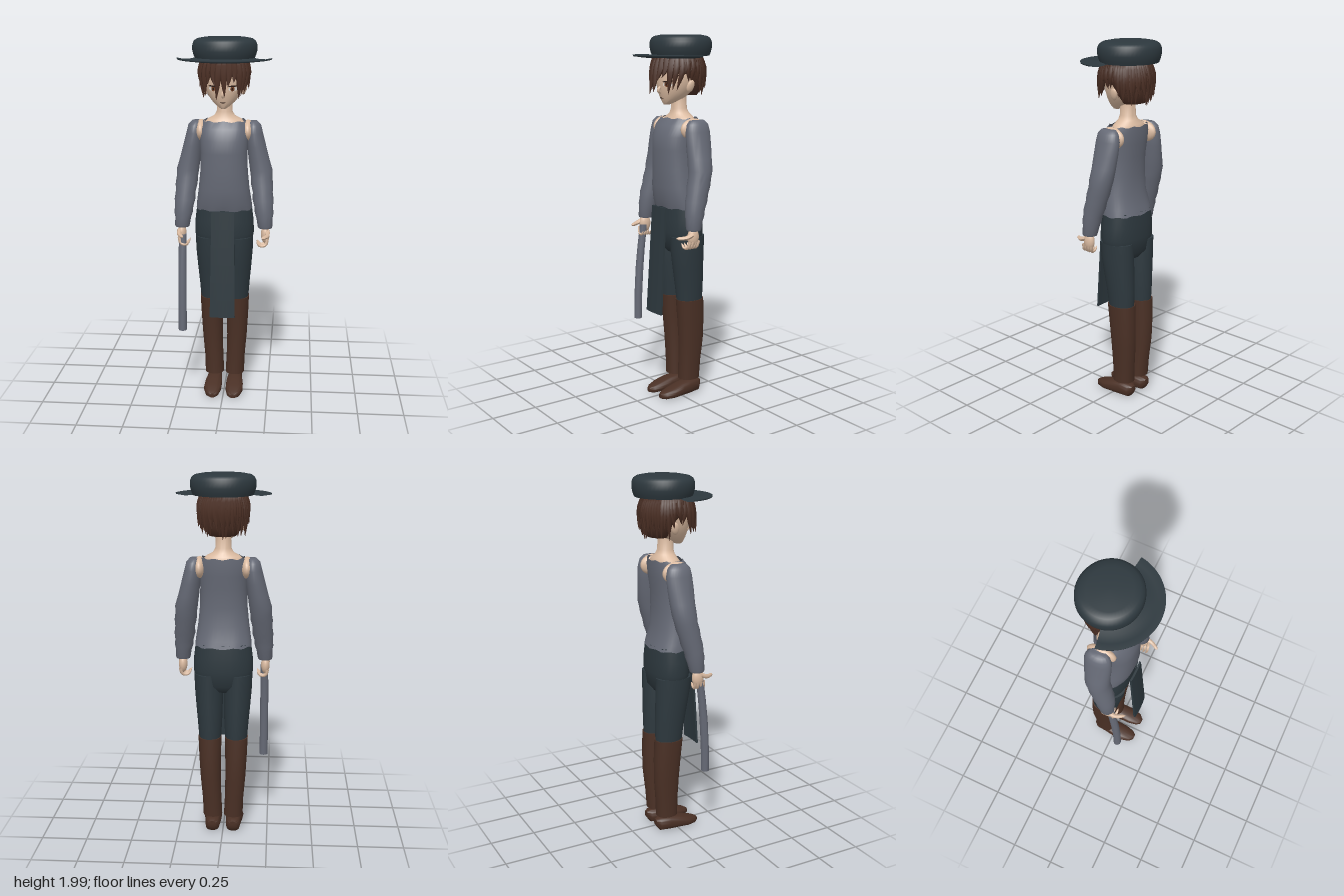
import * as THREE from 'three';
import { toCreasedNormals } from 'three/addons/utils/BufferGeometryUtils.js';

const paint = (hex) => new THREE.MeshStandardMaterial({ color: hex, side: THREE.DoubleSide });

// Stacks elliptical rings [height, centreX, centreZ, radiusX, radiusZ], lowest first.
function loft(rings, { side = 1, cap = true, power = 2, jag = 0, seg = 28 } = {}) {
  const rows = rings.slice();
  if (cap) {
    const shut = ([y, x, z]) => [y, x, z, 0.0002, 0.0002];
    rows.unshift(shut(rings[0]));
    rows.push(shut(rings[rings.length - 1]));
  }
  const pos = [], index = [];
  const bulge = (v) => Math.sign(v) * Math.abs(v) ** (2 / power);
  rows.forEach(([y, cx, cz, rx, rz], i) => {
    const edge = i === 0 || i === rows.length - 1 ? jag : 0;
    for (let j = 0; j < seg; j++) {
      const a = (j / seg) * Math.PI * 2;
      pos.push(cx * side + rx * bulge(Math.cos(a)), y + edge * Math.sin(a * 9), cz + rz * bulge(Math.sin(a)));
      if (i === rows.length - 1) continue;
      const k = (j + 1) % seg, p = i * seg, q = p + seg;
      index.push(p + j, q + j, p + k, p + k, q + j, q + k);
    }
  });
  const geo = new THREE.BufferGeometry();
  geo.setAttribute('position', new THREE.Float32BufferAttribute(pos, 3));
  geo.setIndex(index);
  return toCreasedNormals(geo, 1.0);
}

// Tube along points whose thickness follows taper(t).
function strand(points, width, taper, seg = 7) {
  const curve = new THREE.CatmullRomCurve3(points.map((p) => new THREE.Vector3(...p)));
  const radial = 6, geo = new THREE.TubeGeometry(curve, seg, width, radial);
  const p = geo.attributes.position, v = new THREE.Vector3();
  for (let i = 0; i < p.count; i++) {
    const t = Math.floor(i / (radial + 1)) / seg, c = curve.getPointAt(t);
    v.fromBufferAttribute(p, i).sub(c).multiplyScalar(taper(t)).add(c);
    p.setXYZ(i, v.x, v.y, v.z);
  }
  geo.computeVertexNormals();
  return geo;
}

const HEAD = [
  [1.638, 0, 0.045, 0.014, 0.018], [1.65, 0, 0.032, 0.032, 0.038], [1.67, 0, 0.012, 0.058, 0.064],
  [1.7, 0, -0.008, 0.082, 0.095], [1.74, 0, -0.02, 0.1, 0.112], [1.79, 0, -0.033, 0.11, 0.128],
  [1.84, 0, -0.035, 0.108, 0.128], [1.89, 0, -0.035, 0.09, 0.105],
];
// Front surface of the face at x, y.
function faceZ(x, y) {
  const i = Math.max(0, HEAD.findIndex((r) => r[0] > y) - 1);
  const a = HEAD[i], b = HEAD[i + 1], t = (y - a[0]) / (b[0] - a[0]);
  const mix = (k) => a[k] + (b[k] - a[k]) * t;
  return mix(2) + mix(4) * Math.sqrt(Math.max(0, 1 - (x / mix(3)) ** 2));
}
function facePatch(cx, cy, w, h, lift) {
  const geo = new THREE.CircleGeometry(1, 18), p = geo.attributes.position;
  for (let i = 0; i < p.count; i++) {
    const x = cx + p.getX(i) * w, y = cy + p.getY(i) * h;
    p.setXYZ(i, x, y, faceZ(x, y) + lift);
  }
  geo.computeVertexNormals();
  return geo;
}

export function createModel() {
  const model = new THREE.Group();
  const slate = paint(0x2d383e), grey = paint(0x666a76), skin = paint(0xdcbca2);
  const brown = paint(0x4a3025), hairBrown = paint(0x4b2f24), white = paint(0xe8e2da);
  const iris = paint(0x7a4528), lash = paint(0x2a1a15);
  slate.name = 'slate'; grey.name = 'grey cloth'; skin.name = 'skin'; brown.name = 'brown leather';
  hairBrown.name = 'hair brown'; white.name = 'eye white'; iris.name = 'iris brown'; lash.name = 'dark lash';
  const add = (name, geo, mat) => {
    const mesh = new THREE.Mesh(geo, mat);
    mesh.name = name;
    model.add(mesh);
    return mesh;
  };
  let seed = 11;
  const rand = () => (seed = (seed * 16807) % 2147483647) / 2147483647 - 0.5;

  // Hat: rounded crown and a brim around the front half only
  add('hatCrown', loft([
    [1.892, 0, -0.045, 0.158, 0.15], [1.91, 0, -0.045, 0.165, 0.157], [1.935, 0, -0.045, 0.172, 0.162],
    [1.965, 0, -0.045, 0.171, 0.161], [1.983, 0, -0.045, 0.163, 0.154], [1.994, 0, -0.045, 0.147, 0.138],
    [2.0, 0, -0.045, 0.115, 0.108],
  ], { seg: 48 }), slate);
  const brimProfile = [[0.14, 1.9], [0.18, 1.892], [0.22, 1.89], [0.255, 1.897], [0.253, 1.889],
    [0.2, 1.882], [0.14, 1.89], [0.14, 1.9]].map(([r, y]) => new THREE.Vector2(r, y));
  const brim = add('hatBrim', new THREE.LatheGeometry(brimProfile, 40, -1.41, 2.82), slate);
  brim.position.z = -0.045;

  // Head and face
  add('head', loft(HEAD), skin);
  add('nose', strand([[0, 1.735, 0.088], [0, 1.712, 0.1], [0, 1.698, 0.085]], 0.009,
    (t) => 0.35 + 0.65 * Math.sin(t * Math.PI)), skin);
  add('mouth', facePatch(0, 1.672, 0.016, 0.002, 0.004), lash);
  for (const s of [1, -1]) {
    add('eyeWhite', facePatch(s * 0.052, 1.745, 0.022, 0.013, 0.004), white);
    add('iris', facePatch(s * 0.05, 1.745, 0.011, 0.013, 0.0055), iris);
    add('pupil', facePatch(s * 0.05, 1.745, 0.004, 0.007, 0.007), lash);
    add('upperLash', facePatch(s * 0.053, 1.759, 0.024, 0.004, 0.006), lash);
    const ear = add('ear', new THREE.SphereGeometry(1, 14, 10), skin);
    ear.scale.set(0.012, 0.034, 0.022);
    ear.position.set(s * 0.106, 1.735, -0.032);
    ear.rotation.set(-0.25, 0, -s * 0.25);
  }

  // Hair: a cap over the skull with rings of pointed locks
  add('hairCap', loft([
    [1.685, 0, -0.082, 0.07, 0.05], [1.73, 0, -0.085, 0.103, 0.076], [1.79, 0, -0.062, 0.121, 0.106],
    [1.84, 0, -0.028, 0.126, 0.132], [1.895, 0, -0.03, 0.12, 0.125],
  ]), hairBrown);
  const lockTip = (a) => (a < 0.2 ? 1.705 : a < 0.68 ? 1.77 : a < 1.2 ? 1.705 : a < 1.85 ? 1.755 : 1.685);
  const point = (a, y, rx, rz) => [Math.sin(a) * rx, y, -0.025 + Math.cos(a) * rz];
  for (let layer = 0; layer < 2; layer++) {
    for (let i = 0; i < 28; i++) {
      const a = ((i + layer * 0.5) / 28) * Math.PI * 2 - Math.PI + 0.05;
      if (layer && Math.abs(a) < 1.2) continue;
      const tip = lockTip(Math.abs(a)) + layer * 0.045 + rand() * 0.025;
      const out = Math.cos(a) > 0 ? 0.165 : 0.13 + layer * 0.022;
      const b = a + rand() * 0.25;
      add('hairLock', strand([
        point(a, 1.885, 0.108, 0.115), point(a, 1.82, 0.128, 0.14), point(b, tip, 0.122 + layer * 0.014, out),
      ], 0.021, (t) => Math.max(0.02, 1 - t ** 2.2)), hairBrown);
    }
  }

  // Neck and bare upper chest
  add('neck', loft([
    [1.5, 0, -0.025, 0.115, 0.08], [1.55, 0, -0.035, 0.112, 0.072], [1.572, 0, -0.038, 0.092, 0.06],
    [1.592, 0, -0.036, 0.055, 0.05], [1.615, 0, -0.034, 0.042, 0.043], [1.68, 0, -0.033, 0.041, 0.041],
  ]), skin);

  // Shirt body with ragged collar and hem
  add('shirtBody', loft([
    [1.085, 0, -0.028, 0.153, 0.103], [1.12, 0, -0.018, 0.15, 0.104], [1.2, 0, -0.001, 0.138, 0.1],
    [1.3, 0, 0, 0.128, 0.1], [1.4, 0, 0, 0.126, 0.104], [1.47, 0, -0.007, 0.13, 0.108],
    [1.53, 0, -0.022, 0.13, 0.097], [1.565, 0, -0.038, 0.114, 0.081],
  ], { cap: false, power: 2.3, jag: 0.004, seg: 40 }), grey);

  // Hips
  add('hips', loft([
    [0.83, 0, -0.035, 0.09, 0.06], [0.87, 0, -0.032, 0.148, 0.094], [0.95, 0, -0.03, 0.163, 0.103],
    [1.02, 0, -0.03, 0.16, 0.103], [1.1, 0, -0.028, 0.15, 0.099],
  ], { power: 2.3 }), slate);

  for (const side of [1, -1]) {
    // Bare shoulder in the torn seam, with a loose sleeve
    const shoulder = add('bareShoulder', new THREE.SphereGeometry(1, 20, 14), skin);
    shoulder.scale.set(0.032, 0.058, 0.08);
    shoulder.position.set(side * 0.126, 1.51, -0.037);
    add('sleeve', loft([
      [0.99, 0.226, 0.033, 0.037, 0.038], [1.0, 0.226, 0.033, 0.041, 0.042], [1.04, 0.222, 0.027, 0.043, 0.046],
      [1.07, 0.22, 0.023, 0.051, 0.052], [1.1, 0.217, 0.018, 0.05, 0.053], [1.14, 0.213, 0.008, 0.057, 0.06],
      [1.18, 0.21, -0.002, 0.054, 0.059], [1.22, 0.206, -0.012, 0.06, 0.064], [1.26, 0.202, -0.022, 0.058, 0.063],
      [1.3, 0.199, -0.029, 0.061, 0.067], [1.36, 0.186, -0.034, 0.056, 0.069], [1.43, 0.173, -0.037, 0.051, 0.073],
      [1.5, 0.161, -0.04, 0.045, 0.073], [1.54, 0.158, -0.04, 0.038, 0.064], [1.56, 0.153, -0.04, 0.025, 0.045],
    ], { side }), grey);

    // Hand with curled fingers and a thumb reaching forward
    const palm = add('palm', new THREE.SphereGeometry(1, 16, 12), skin);
    palm.scale.set(0.024, 0.05, 0.034);
    palm.position.set(side * 0.228, 0.955, 0.038);
    const fingerTaper = (t) => (t === 1 ? 0.05 : 1 - 0.4 * t);
    for (let k = 0; k < 4; k++) {
      const z = 0.012 + k * 0.018;
      add('finger', strand([
        [side * 0.24, 0.935, z], [side * 0.232, 0.902, z + 0.006],
        [side * 0.202, 0.896, z + 0.012], [side * 0.182, 0.92, z + 0.014],
      ], 0.01, fingerTaper), skin);
    }
    add('thumb', strand([
      [side * 0.24, 0.97, 0.05], [side * 0.238, 0.957, 0.09], [side * 0.212, 0.955, 0.137],
    ], 0.014, fingerTaper), skin);

    // Trouser leg, tall boot and separate shoe
    add('trouserLeg', loft([
      [0.55, 0.072, -0.055, 0.06, 0.075], [0.65, 0.073, -0.05, 0.067, 0.083], [0.75, 0.076, -0.041, 0.073, 0.09],
      [0.85, 0.08, -0.033, 0.077, 0.098], [0.93, 0.083, -0.03, 0.076, 0.1],
    ], { side }), slate);
    add('boot', loft([
      [0.1, 0.058, -0.06, 0.053, 0.06], [0.2, 0.062, -0.063, 0.052, 0.063], [0.33, 0.069, -0.067, 0.056, 0.071],
      [0.45, 0.072, -0.063, 0.06, 0.076], [0.568, 0.073, -0.055, 0.064, 0.079],
    ], { side, power: 2.3, jag: 0.004 }), brown);
    // Shoe rings run from heel to toe, then are laid along z
    add('shoe', loft([
      [-0.13, 0.058, -0.06, 0.02, 0.018], [-0.11, 0.058, -0.05, 0.038, 0.037], [-0.05, 0.058, -0.048, 0.043, 0.04],
      [0, 0.06, -0.045, 0.048, 0.036], [0.06, 0.062, -0.036, 0.049, 0.028], [0.11, 0.06, -0.029, 0.036, 0.02],
      [0.132, 0.058, -0.026, 0.016, 0.012],
    ], { side, power: 2.6 }).rotateX(Math.PI / 2), brown);
  }

  // Long front panel hanging from the waist, leaning forward at the foot
  const panel = new THREE.BoxGeometry(0.138, 0.59, 0.011, 6, 6, 1), p = panel.attributes.position;
  for (let i = 0; i < p.count; i++) {
    const t = 0.5 - p.getY(i) / 0.59, x = p.getX(i) * (0.88 + 0.12 * t);
    p.setXYZ(i, x, p.getY(i) + 0.795, p.getZ(i) + 0.1 + 0.036 * t - x * x);
  }
  add('frontPanel', toCreasedNormals(panel, 0.7), slate);

  // Slightly curved scabbard held in the right hand
  add('scabbard', loft([
    [0.405, -0.224, 0.092, 0.023, 0.022], [0.55, -0.224, 0.089, 0.023, 0.022], [0.7, -0.224, 0.08, 0.023, 0.022],
    [0.82, -0.224, 0.068, 0.022, 0.021], [0.95, -0.222, 0.052, 0.021, 0.02],
  ], { seg: 16 }), grey);

  return model;
}
